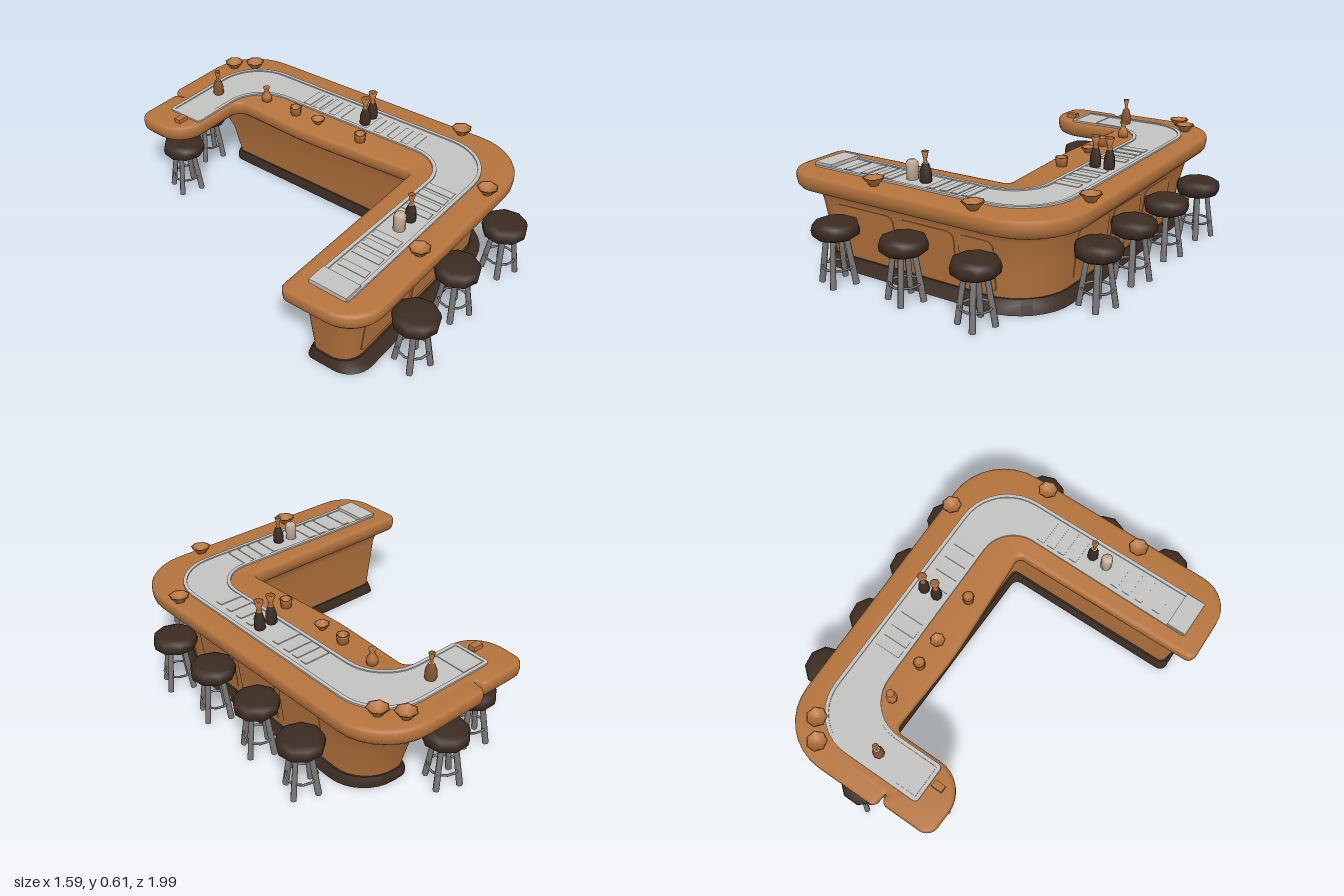
import * as THREE from 'three';
import { toCreasedNormals } from 'three/addons/utils/BufferGeometryUtils.js';

const mat = (name, color, side = THREE.FrontSide) => {
  const m = new THREE.MeshStandardMaterial({ color, side });
  m.name = name;
  return m;
};

// Rounded outline from corners [x, z, radius]; returned counter-clockwise in (x, -z)
function outline(corners, seg = 8) {
  const P = corners.map(([x, z]) => new THREE.Vector2(x, -z));
  const pts = [];
  P.forEach((p, i) => {
    const prev = P[(i + P.length - 1) % P.length], next = P[(i + 1) % P.length];
    const r = corners[i][2];
    const toward = (q, d) => p.clone().add(q.clone().sub(p).setLength(d));
    const curve = new THREE.CubicBezierCurve(
      toward(prev, r), toward(prev, r * 0.45), toward(next, r * 0.45), toward(next, r));
    pts.push(...curve.getPoints(seg));
  });
  return THREE.ShapeUtils.area(pts) < 0 ? pts.reverse() : pts;
}

// Moves an outline inwards by d
function inset(pts, d) {
  const n = pts.length;
  return pts.map((p, i) => {
    const t = pts[(i + 1) % n].clone().sub(pts[(i + n - 1) % n]).normalize();
    return new THREE.Vector2(p.x - t.y * d, p.y + t.x * d);
  });
}

// Closed solid through outlines stacked at [y, points]
function loft(levels, crease = 0.6) {
  const n = levels[0][1].length, pos = [], idx = [];
  for (const [y, pts] of levels) for (const p of pts) pos.push(p.x, y, -p.y);
  for (let l = 0; l < levels.length - 1; l++) {
    for (let i = 0; i < n; i++) {
      const a = l * n + i, b = l * n + (i + 1) % n;
      idx.push(a, b, b + n, a, b + n, a + n);
    }
  }
  const top = (levels.length - 1) * n;
  for (const [a, b, c] of THREE.ShapeUtils.triangulateShape(levels[0][1], [])) idx.push(a, c, b);
  for (const [a, b, c] of THREE.ShapeUtils.triangulateShape(levels.at(-1)[1], [])) {
    idx.push(top + a, top + b, top + c);
  }
  const g = new THREE.BufferGeometry();
  g.setAttribute('position', new THREE.Float32BufferAttribute(pos, 3));
  g.setIndex(idx);
  return toCreasedNormals(g, crease);
}

export function createModel() {
  const root = new THREE.Group();
  root.name = 'barCounter';
  const wood = mat('wood', 0xb5743d);
  const woodThin = mat('thinWood', 0xb5743d, THREE.DoubleSide);
  const dark = mat('darkBrown', 0x3b2c22);
  const midBrown = mat('midBrown', 0x855430);
  const steel = mat('steel', 0xc3c3c1);
  const legGrey = mat('legGrey', 0x7b7977);
  const pale = mat('paleClay', 0xc6b29c);

  const add = (parent, name, geo, material, x = 0, y = 0, z = 0) => {
    const m = new THREE.Mesh(geo, material);
    m.name = name;
    m.position.set(x, y, z);
    parent.add(m);
    return m;
  };

  // Counter body: steep walls, flaring out below the top and most of all at the back
  const foot = outline([[-0.66, 0.52, 0.03], [-0.66, 0.715, 0.1], [0.52, 0.715, 0.25],
    [0.52, -0.74, 0.18], [0.27, -0.74, 0.04], [0.275, 0.52, 0.03]]);
  const middle = outline([[-0.683, 0.514, 0.03], [-0.683, 0.73, 0.1], [0.535, 0.73, 0.25],
    [0.535, -0.78, 0.2], [0.255, -0.78, 0.04], [0.269, 0.514, 0.03]]);
  const waist = outline([[-0.7, 0.51, 0.03], [-0.7, 0.742, 0.1], [0.55, 0.742, 0.25],
    [0.55, -0.85, 0.22], [0.23, -0.85, 0.04], [0.265, 0.51, 0.03]]);
  const flare = outline([[-0.738, 0.485, 0.03], [-0.738, 0.778, 0.1], [0.6, 0.778, 0.26],
    [0.59, -0.92, 0.26], [0.2, -0.92, 0.04], [0.24, 0.485, 0.03]]);
  const neck = waist.map((p, i) => p.clone().lerp(flare[i], 0.28));
  add(root, 'body',
    loft([[0.04, foot], [0.2, middle], [0.32, waist], [0.355, neck], [0.385, flare]]), wood);

  // Dark plinth, spreading slightly towards the floor
  const base = outline([[-0.685, 0.495, 0.04], [-0.68, 0.768, 0.12], [0.568, 0.768, 0.27],
    [0.545, -0.757, 0.2], [0.25, -0.757, 0.05], [0.25, 0.495, 0.04]]);
  add(root, 'plinth', loft([[0, base], [0.025, inset(foot, -0.022)],
    [0.052, inset(foot, -0.01)]]), dark);

  // Shallow panels on the front and right walls
  const panelGeo = (w) => {
    const s = new THREE.Shape(outline([[-w / 2, -0.11, 0.035], [w / 2, -0.11, 0.035],
      [w / 2, 0.12, 0.015], [-w / 2, 0.12, 0.015]], 5));
    return new THREE.ExtrudeGeometry(s, { depth: 0.006, bevelEnabled: false });
  };
  for (const [x, w] of [[-0.4, 0.36], [-0.04, 0.31], [0.23, 0.18]]) {
    add(root, 'frontPanel', panelGeo(w), wood, x, 0.2, 0.728).rotation.x = 0.096;
  }
  for (const z of [0.29, -0.03, -0.35]) {
    const m = add(root, 'sidePanel', panelGeo(0.28), wood, 0.533, 0.2, z);
    m.rotation.set(0.107, Math.PI / 2, 0, 'YXZ');
  }

  // Thick counter top with softened edges and a notch beside the hinged end
  const slab = outline([[-0.798, 0.447, 0.04], [-0.79, 0.853, 0.17], [0.678, 0.858, 0.31],
    [0.625, -0.967, 0.27], [0.032, -0.967, 0.03], [0.025, -0.895, 0.004], [0.015, -0.895, 0.004],
    [0.012, -0.937, 0.025], [-0.258, -0.937, 0.06], [-0.266, -0.628, 0.17],
    [0.165, -0.628, 0.05], [0.15, -0.185, 0.1], [0.198, 0.44, 0.03]]);
  add(root, 'counterTop', loft([[0.376, inset(slab, 0.036)], [0.384, inset(slab, 0.018)],
    [0.4, inset(slab, 0.005)], [0.425, slab], [0.45, inset(slab, 0.001)],
    [0.459, inset(slab, 0.006)], [0.463, inset(slab, 0.02)]], 0.9), wood);

  // Steel channel: floor and raised rim
  const tray = outline([[-0.7, 0.525, 0.02], [-0.7, 0.727, 0.02], [0.552, 0.73, 0.27],
    [0.525, -0.847, 0.24], [-0.12, -0.847, 0.02], [-0.12, -0.645, 0.02],
    [0.33, -0.645, 0.2], [0.357, 0.54, 0.18]], 10);
  add(root, 'channelFloor', loft([[0.45, inset(tray, 0.005)], [0.465, inset(tray, 0.005)]]), steel);
  const rim = new THREE.Shape(tray);
  rim.holes.push(new THREE.Path(inset(tray, 0.018)));
  const rimGeo = new THREE.ExtrudeGeometry(rim, { depth: 0.018, bevelEnabled: false });
  add(root, 'channelRim', rimGeo.rotateX(-Math.PI / 2), steel, 0, 0.453, 0);

  // Plates and slats lying in the channel
  const plate = (name, x, z, w, d, h = 0.004) =>
    add(root, name, new THREE.BoxGeometry(w, h, d), steel, x, 0.465 + h / 2, z);
  plate('endPlate', -0.65, 0.625, 0.1, 0.19, 0.018);
  plate('backPlate', -0.04, -0.745, 0.12, 0.16);
  for (const x of [-0.52, -0.42, -0.35, -0.28, -0.04, 0.03, 0.09, 0.15]) {
    plate('frontSlat', x, 0.627, 0.04, 0.14).rotation.z = 0.06;
  }
  for (const z of [-0.32, -0.26, -0.2, -0.12, 0.08, 0.16, 0.24, 0.32]) {
    plate('sideSlat', 0.425, z, 0.13, 0.04).rotation.x = 0.06;
  }

  // Stools: padded seat, four splayed legs and a foot ring
  const V = (r, y) => new THREE.Vector2(r, y);
  const seatGeo = new THREE.LatheGeometry([V(0, 0.225), V(0.085, 0.225), V(0.105, 0.238),
    V(0.109, 0.265), V(0.102, 0.29), V(0.077, 0.302), V(0, 0.305)], 9);
  const ringGeo = new THREE.TorusGeometry(0.07, 0.006, 5, 12).rotateX(Math.PI / 2);
  const legGeo = new THREE.CylinderGeometry(0.013, 0.015, 0.245, 6);
  const stool = (x, z) => {
    const g = new THREE.Group();
    g.name = 'stool';
    g.position.set(x, 0, z);
    add(g, 'seat', seatGeo, dark);
    add(g, 'footRing', ringGeo, legGrey, 0, 0.085, 0);
    for (let i = 0; i < 4; i++) {
      const pivot = new THREE.Group();
      pivot.name = 'legMount';
      pivot.rotation.y = 0.42 + i * Math.PI / 2;
      add(pivot, 'leg', legGeo, legGrey, 0.062, 0.123, 0).rotation.z = 0.15;
      g.add(pivot);
    }
    root.add(g);
  };
  for (const [x, z] of [[-0.425, 0.888], [-0.055, 0.865], [0.338, 0.888], [0.665, 0.465],
    [0.665, 0.14], [0.665, -0.2], [0.683, -0.535], [0.18, -0.89], [-0.116, -0.776]]) stool(x, z);

  // Bowls along the outer edge
  const bowlGeo = new THREE.LatheGeometry([V(0, 0), V(0.022, 0), V(0.027, 0.01), V(0.051, 0.038),
    V(0.043, 0.038), V(0.02, 0.014), V(0, 0.012)], 7);
  for (const [x, z] of [[0.415, -0.88], [0.487, -0.79], [0.62, 0.46], [0.27, 0.805], [-0.275, 0.79]]) {
    add(root, 'bowl', bowlGeo, woodThin, x, 0.462, z);
  }

  // Cups and a small jug on the inner ledge
  const cupGeo = new THREE.LatheGeometry([V(0, 0), V(0.026, 0), V(0.031, 0.045), V(0.025, 0.045),
    V(0.019, 0.012), V(0, 0.012)], 8);
  for (const [x, z] of [[0.255, -0.31], [0.26, 0.095]]) add(root, 'cup', cupGeo, woodThin, x, 0.461, z);
  add(root, 'smallBowl', bowlGeo, woodThin, 0.255, 0.461, -0.165).scale.set(0.75, 0.8, 0.75);
  const jugGeo = new THREE.LatheGeometry([V(0, 0), V(0.026, 0), V(0.028, 0.03), V(0.014, 0.05),
    V(0.012, 0.065), V(0.02, 0.08), V(0, 0.072)], 8);
  add(root, 'jug', jugGeo, woodThin, 0.265, 0.461, -0.515);
  add(root, 'smallBox', new THREE.BoxGeometry(0.055, 0.025, 0.035), wood, -0.16, 0.472, -0.73);

  // Bottles and the pale beaker in the channel
  const bottleGeo = new THREE.LatheGeometry([V(0, 0), V(0.025, 0), V(0.028, 0.01), V(0.026, 0.055),
    V(0.014, 0.092)], 8);
  const neckGeo = new THREE.LatheGeometry([V(0.014, 0.092), V(0.011, 0.108), V(0.024, 0.148),
    V(0, 0.14)], 8);
  for (const [x, z, flared, tall, body] of [[0.4, 0.025, 1, 1, dark], [0.47, 0.02, 1, 1, dark],
    [-0.11, 0.635, 0.7, 0.97, dark], [0.155, -0.76, 0.65, 0.9, midBrown]]) {
    add(root, 'bottle', bottleGeo, body, x, 0.464, z).scale.y = tall;
    add(root, 'bottleNeck', neckGeo, woodThin, x, 0.464, z).scale.set(flared, tall, flared);
  }
  add(root, 'beaker', new THREE.LatheGeometry([V(0, 0), V(0.028, 0), V(0.029, 0.075),
    V(0.02, 0.088), V(0, 0.09)], 10), pale, -0.19, 0.464, 0.63);

  return root;
}
